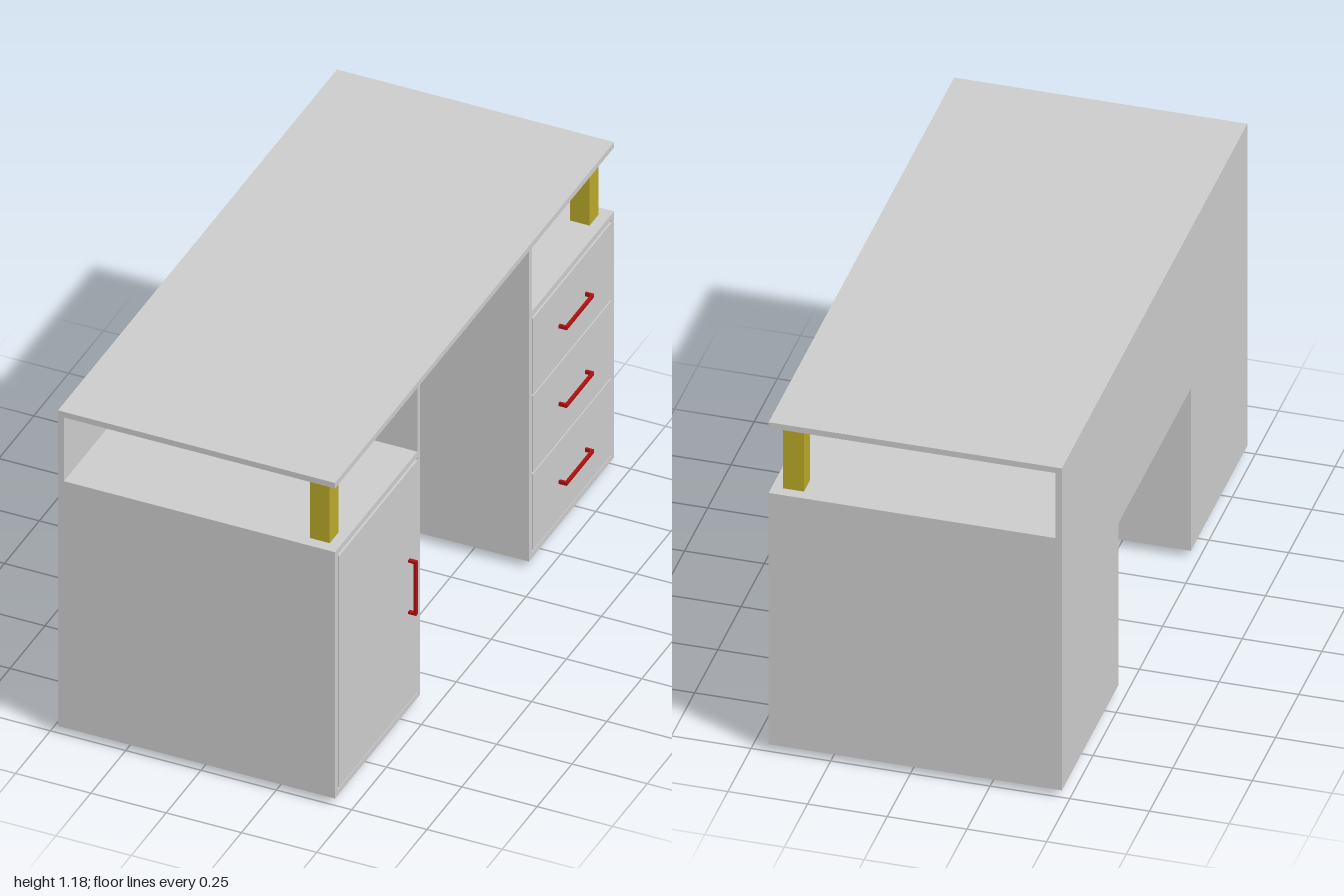
import * as THREE from 'three';

const grey = new THREE.MeshStandardMaterial({ color: 0xcccccc });
const yellow = new THREE.MeshStandardMaterial({ color: 0xb8a828 });
const red = new THREE.MeshStandardMaterial({ color: 0xb01010 });

const BACK = -0.475, FRONT = 0.445, T = 0.02;
const BASE = 0.025, SHELF = 0.925, UNDER = 1.158, TOP = 1.178;

// Box given by its lower and upper limits on each axis
function box(parent, name, [x0, x1], [y0, y1], [z0, z1], material = grey) {
  const mesh = new THREE.Mesh(new THREE.BoxGeometry(x1 - x0, y1 - y0, Math.abs(z1 - z0)), material);
  mesh.position.set((x0 + x1) / 2, (y0 + y1) / 2, (z0 + z1) / 2);
  mesh.name = name;
  parent.add(mesh);
  return mesh;
}

// Bar handle along z, with a standoff at each end
function handle(name, y, z) {
  const group = new THREE.Group();
  group.name = name;
  const h = 0.006, half = 0.098;
  box(group, 'handleBar', [0.019, 0.027], [-h, h], [-half, half], red);
  for (const s of [-1, 1]) {
    box(group, 'handleStandoff', [0, 0.019], [-h, h], [s * half, s * (half - 0.008)], red);
  }
  group.position.set(0.448, y, z);
  return group;
}

// Carcass, corner post and foot frame shared by both pedestals; s is the side along z
function pedestal(name, s) {
  const group = new THREE.Group();
  group.name = name;
  const inner = [s * 0.41, s * 0.98];
  const x = [BACK + T, FRONT];
  box(group, 'outerSide', x, [BASE, SHELF], [s * 0.98, s]);
  box(group, 'innerSide', x, [BASE, UNDER], [s * 0.39, s * 0.41]);
  box(group, 'bottomPanel', x, [BASE, BASE + T], inner);
  box(group, 'shelf', x, [SHELF - T, SHELF], inner);
  box(group, 'cornerPost', [0.345, 0.41], [SHELF, UNDER], [s * 0.9, s * 0.963], yellow);

  // Rectangular foot frame
  const y = [0, BASE], w = 0.017;
  for (const [a, b] of [[0.62, 0.62 + w], [0.77 - w, 0.77]]) {
    box(group, 'footRail', [-0.435, 0.41], y, [s * a, s * b], yellow);
  }
  for (const [a, b] of [[-0.435, -0.435 + w], [0.41 - w, 0.41]]) {
    box(group, 'footCrossbar', [a, b], y, [s * (0.62 + w), s * (0.77 - w)], yellow);
  }
  return group;
}

export function createModel() {
  const desk = new THREE.Group();
  desk.name = 'desk';

  box(desk, 'desktop', [BACK, FRONT], [UNDER, TOP], [-1, 1]);

  // Back panel with the knee-space cut-out
  const outline = [[-1, BASE], [-0.39, BASE], [-0.39, 0.605], [0.39, 0.605],
    [0.39, BASE], [1, BASE], [1, UNDER], [-1, UNDER]];
  const shape = new THREE.Shape(outline.map(([a, b]) => new THREE.Vector2(a, b)));
  const back = new THREE.Mesh(
    new THREE.ExtrudeGeometry(shape, { depth: T, bevelEnabled: false }), grey);
  back.rotation.y = Math.PI / 2;
  back.position.x = BACK;
  back.name = 'backPanel';
  desk.add(back);

  const doorSide = pedestal('doorPedestal', 1);
  const drawerSide = pedestal('drawerPedestal', -1);
  desk.add(doorSide, drawerSide);

  // Door with an upright handle
  const frontX = [FRONT - 0.017, FRONT + 0.003];
  box(doorSide, 'door', frontX, [0.053, 0.898], [0.413, 0.977]);
  const doorHandle = handle('doorHandle', 0.477, 0.478);
  doorHandle.rotation.x = Math.PI / 2;
  doorSide.add(doorHandle);

  // Three equal drawer fronts
  const step = 0.2843;
  for (let i = 0; i < 3; i++) {
    const y = 0.05 + i * step;
    box(drawerSide, 'drawerFront', frontX, [y + 0.003, y + step - 0.003], [-0.977, -0.413]);
    drawerSide.add(handle('drawerHandle', y + 0.137, -0.695));
  }
  return desk;
}
